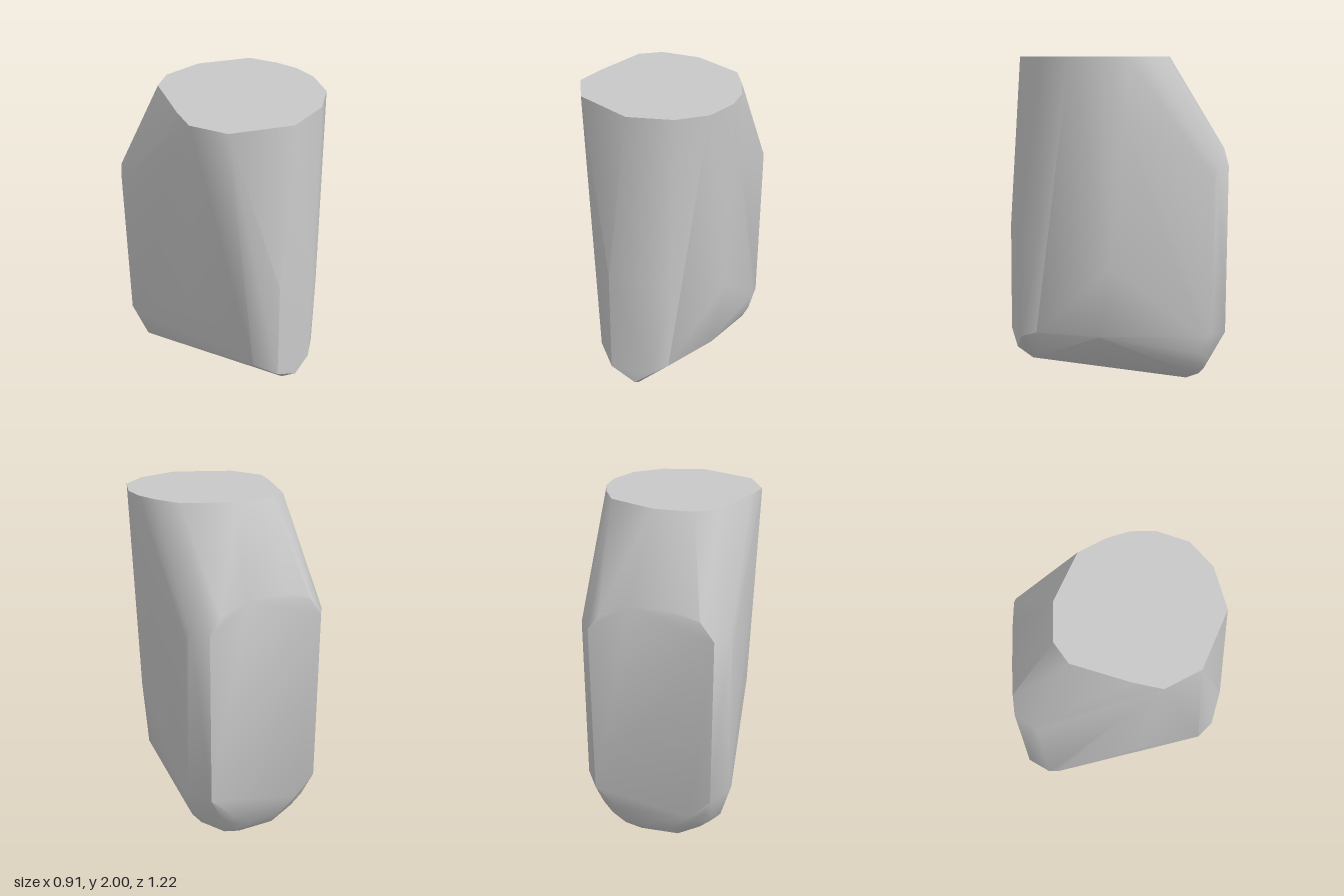
import * as THREE from 'three';
import { ConvexGeometry } from 'three/addons/geometries/ConvexGeometry.js';
import { toCreasedNormals } from 'three/addons/utils/BufferGeometryUtils.js';

const grey = new THREE.MeshStandardMaterial({ color: 0xc8c8c8 });
grey.name = 'stone grey';

// Flat top outline as [x, z]
const topRim = [
  [-0.30, -0.27], [-0.18, -0.35], [0.05, -0.35], [0.33, -0.22], [0.41, -0.07], [0.45, 0.06],
  [0.45, 0.20], [0.38, 0.38], [0.23, 0.50], [-0.02, 0.56], [-0.35, 0.41],
  [-0.45, 0.21], [-0.41, 0.05],
];

// Rounded lower edge at the back as [x, y]
const backKeel = [
  [-0.37, 0.14], [-0.29, 0.08], [-0.14, 0.005], [0.11, 0.005],
  [0.22, 0.03], [0.31, 0.09], [0.37, 0.16], [0.41, 0.24],
];

// The keel curves up into the back face: [x scale, lift, z]
const keelRows = [[1, 0, -0.41], [0.92, 0.012, -0.50], [0.82, 0.09, -0.57]];

// Flat back face as [x, y]
const backFace = [
  [-0.36, 1.36], [-0.28, 1.47], [-0.12, 1.52], [0.12, 1.52], [0.29, 1.46], [0.36, 1.36],
  [0.35, 0.34], [0.22, 0.22], [-0.22, 0.22], [-0.35, 0.34],
];

// Front and side corners as [x, y, z]
const corners = [
  // narrow front strip and the tip below it
  [-0.13, 0.35, 0.61], [-0.13, 1.0, 0.605], [0.12, 0.36, 0.61], [0.12, 1.0, 0.605],
  [0.02, 0.27, 0.61], [0.0, 0.185, 0.51],
  // shoulders beside the strip
  [-0.24, 0.42, 0.51], [0.21, 0.40, 0.54], [0.22, 0.88, 0.54],
  // lower sides, drawn in towards the front
  [-0.41, 0.80, 0.12], [0.42, 0.80, 0.15], [0.36, 0.38, 0.20],
  [-0.435, 0.35, -0.42], [0.435, 0.35, -0.42],
  // widest part of the upper sides
  [-0.455, 1.65, 0.05], [0.455, 1.65, 0.08],
  // rear side edges
  [-0.435, 0.36, -0.48], [0.435, 0.36, -0.48],
  [-0.44, 1.30, -0.48], [0.44, 1.30, -0.48],
  [-0.43, 1.36, -0.51], [0.43, 1.36, -0.51],
];

export function createModel() {
  const group = new THREE.Group();
  group.name = 'facetedBlock';

  const points = [
    ...topRim.map(([x, z]) => new THREE.Vector3(x, 2, z)),
    ...keelRows.flatMap(([scale, lift, z]) =>
      backKeel.map(([x, y]) => new THREE.Vector3(x * scale, y + lift, z))),
    ...backFace.map(([x, y]) => new THREE.Vector3(x, y, -0.61)),
    ...corners.map((c) => new THREE.Vector3(...c)),
  ];

  // Soft sides, crisp caps
  const body = new THREE.Mesh(toCreasedNormals(new ConvexGeometry(points), 0.7), grey);
  body.name = 'body';
  group.add(body);
  return group;
}
